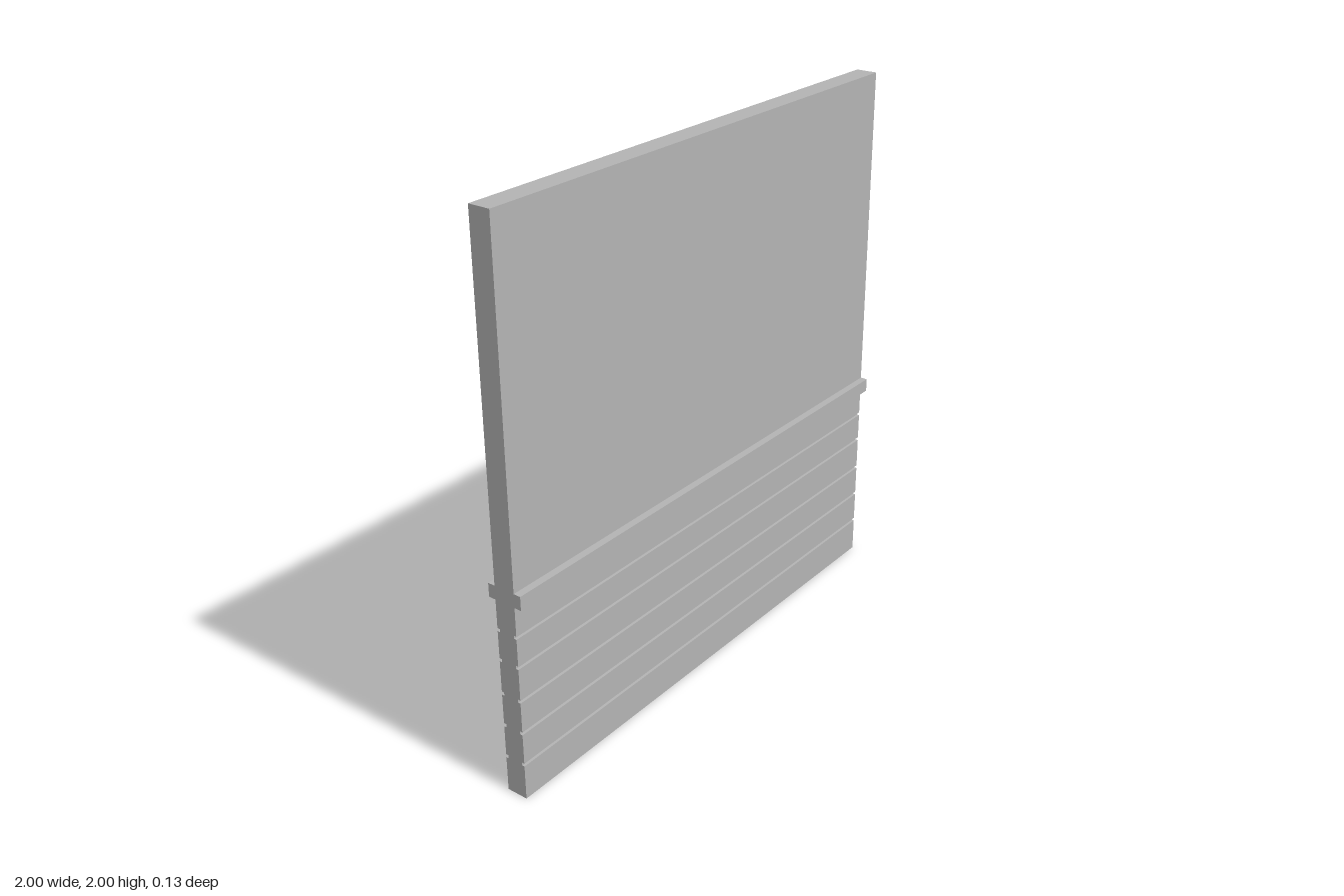
import * as THREE from 'three';

export function createModel() {
  const group = new THREE.Group();
  const grey = new THREE.MeshStandardMaterial({ color: 0xb3b3b3 });
  grey.name = 'wallGrey';

  const width = 2, wallDepth = 0.08, grooveDepth = 0.06, railDepth = 0.134;

  // A full-width horizontal slab between two heights
  function slab(name, y0, y1, depth) {
    const mesh = new THREE.Mesh(new THREE.BoxGeometry(width, y1 - y0, depth), grey);
    mesh.position.y = (y0 + y1) / 2;
    mesh.name = name;
    group.add(mesh);
  }

  // Wainscot boards on both faces, separated by narrow recessed grooves
  const railBottom = 0.733, railTop = 0.783, grooveHalf = 0.006;
  let y = 0;
  [0.136, 0.26, 0.383, 0.511, 0.623].forEach((g, i) => {
    slab(`board${i + 1}`, y, g - grooveHalf, wallDepth);
    slab(`groove${i + 1}`, g - grooveHalf, g + grooveHalf, grooveDepth);
    y = g + grooveHalf;
  });
  slab('board6', y, railBottom, wallDepth);

  // Projecting rail and plain upper panel
  slab('chairRail', railBottom, railTop, railDepth);
  slab('upperPanel', railTop, 2, wallDepth);

  return group;
}
